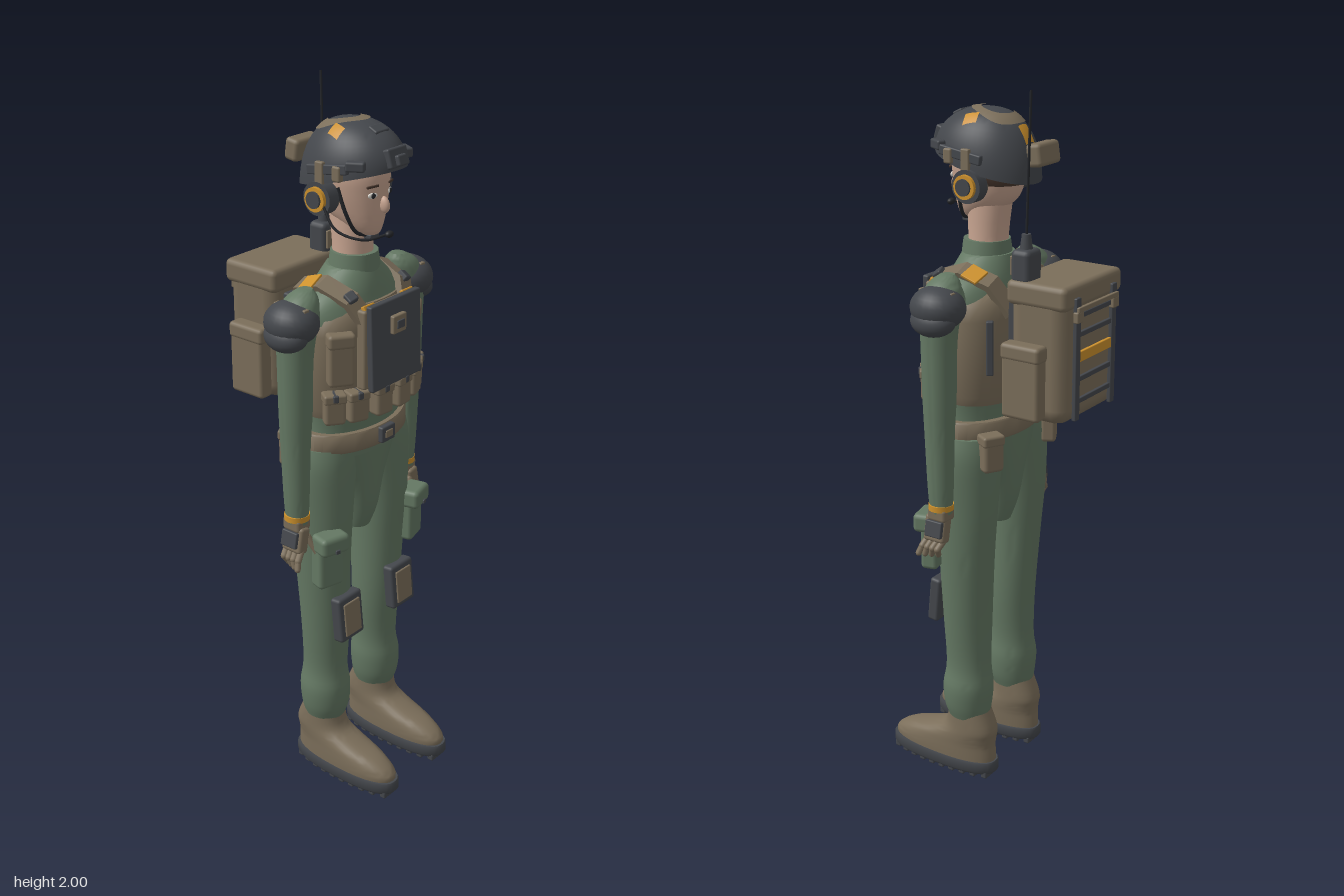
import * as THREE from 'three';
import { toCreasedNormals } from 'three/addons/utils/BufferGeometryUtils.js';
import { RoundedBoxGeometry } from 'three/addons/geometries/RoundedBoxGeometry.js';

const V = (x, y, z) => new THREE.Vector3(x, y, z);
const mat = (name, color) => Object.assign(new THREE.MeshStandardMaterial({ color }), { name });

// Solid through elliptical rings [y, cx, cz, rx, rz]; pw < 1 squares the section, steps smooths between rings
function loft(rings, { pw = 1, steps = 1, seg = 32, mx = 1 } = {}) {
  const rows = [];
  const mix = (a, b, c, d, t) => 0.5 * (2 * b + (c - a) * t + (2 * a - 5 * b + 4 * c - d) * t * t + (3 * b - a - 3 * c + d) * t ** 3);
  const at = (i) => rings[Math.max(0, Math.min(rings.length - 1, i))];
  for (let i = 0; i < rings.length - 1; i++)
    for (let k = 0; k < steps; k++) rows.push(at(i).map((v, n) => mix(at(i - 1)[n], v, at(i + 1)[n], at(i + 2)[n], k / steps)));
  rows.push(at(rings.length - 1));
  const pos = [], idx = [], sp = (v) => Math.sign(v) * Math.abs(v) ** pw;
  for (const [y, cx, cz, rx, rz] of rows)
    for (let j = 0; j < seg; j++) {
      const a = (j / seg) * Math.PI * 2;
      pos.push(cx * mx + rx * sp(Math.cos(a)), y, cz + rz * sp(Math.sin(a)));
    }
  const n = rows.length, top = rows[n - 1];
  pos.push(rows[0][1] * mx, rows[0][0], rows[0][2], top[1] * mx, top[0], top[2]);
  for (let j = 0; j < seg; j++) {
    const k = (j + 1) % seg;
    for (let i = 0; i < n - 1; i++) {
      const p = i * seg + j, q = i * seg + k;
      idx.push(p, p + seg, q, q, p + seg, q + seg);
    }
    idx.push(n * seg, j, k, n * seg + 1, (n - 1) * seg + k, (n - 1) * seg + j);
  }
  const g = new THREE.BufferGeometry();
  g.setAttribute('position', new THREE.Float32BufferAttribute(pos, 3));
  g.setIndex(idx);
  return toCreasedNormals(g, 0.75);
}

// Helmet surface height, used by the shell and by everything draped on it
function helmetY(x, z) {
  const r = Math.min(1, Math.hypot(x / 0.118, (z - 0.04) / 0.15));
  const s = Math.sqrt(1 - r ** 2.4);
  return 1.785 + 0.145 * s + (1 - s) * (z - 0.05) * 0.25;
}
function drape(g, lift) {
  const p = g.attributes.position;
  for (let i = 0; i < p.count; i++) p.setY(i, helmetY(p.getX(i), p.getZ(i)) + lift);
  g.computeVertexNormals();
  return g;
}

export function createModel() {
  const root = new THREE.Group();
  root.name = 'radioOperator';
  const green = mat('fieldGreen', 0x647863), tan = mat('webbingTan', 0x7b6e5a), dark = mat('gunmetal', 0x44474c);
  const skin = mat('skin', 0xc7a490), orange = mat('signalOrange', 0xcd912d), hair = mat('hairBrown', 0x45352c);
  const white = mat('eyeWhite', 0xdedad2), black = mat('nearBlack', 0x24262a), lip = mat('lip', 0xa0705f);

  const add = (name, m, g, x = 0, y = 0, z = 0, rx = 0, ry = 0, rz = 0) => {
    const o = new THREE.Mesh(g, m);
    o.name = name;
    o.position.set(x, y, z);
    o.rotation.set(rx, ry, rz);
    root.add(o);
    return o;
  };
  const box = (name, m, w, h, d, x, y, z, rx, ry, rz) =>
    add(name, m, new RoundedBoxGeometry(w, h, d, 2, Math.min(w, h, d) * 0.25), x, y, z, rx, ry, rz);
  const ball = (name, m, a, b, c, x, y, z, rx, ry, rz) =>
    add(name, m, new THREE.SphereGeometry(1, 24, 16).scale(a, b, c), x, y, z, rx, ry, rz);
  const tube = (name, m, r, ...pts) => add(name, m, new THREE.TubeGeometry(new THREE.CatmullRomCurve3(pts), 24, r, 8));
  const disc = (name, m, r, h, x, y, z) => add(name, m, new THREE.CylinderGeometry(r, r, h, 24), x, y, z, 0, 0, Math.PI / 2);
  const limb = (name, m, x, y, z, x2, y2, z2, r) => {
    const a = V(x, y, z), d = V(x2, y2, z2).sub(a);
    const o = add(name, m, new THREE.CapsuleGeometry(r, d.length(), 4, 10));
    o.position.copy(a).addScaledVector(d, 0.5);
    o.quaternion.setFromUnitVectors(V(0, 1, 0), d.normalize());
  };

  // Torso, pelvis, collar and belt
  add('shirt', green, loft([[1.04, 0, 0.04, 0.17, 0.1], [1.13, 0, 0.04, 0.165, 0.1], [1.25, 0, 0.04, 0.178, 0.11],
    [1.4, 0, 0.04, 0.19, 0.115], [1.47, 0, 0.04, 0.175, 0.095], [1.52, 0, 0.04, 0.11, 0.08], [1.55, 0, 0.04, 0.075, 0.068]], { steps: 4 }));
  add('collar', green, loft([[1.52, 0, 0.045, 0.075, 0.07], [1.55, 0, 0.045, 0.07, 0.067], [1.585, 0, 0.045, 0.064, 0.063]], { steps: 2 }));
  add('pelvis', green, loft([[0.78, 0, 0.035, 0.04, 0.06], [0.85, 0, 0.035, 0.055, 0.085], [0.95, 0, 0.033, 0.09, 0.095], [1.07, 0, 0.033, 0.175, 0.1]], { steps: 3, pw: 0.85 }));
  add('belt', tan, loft([[1.06, 0, 0.038, 0.186, 0.115], [1.065, 0, 0.038, 0.19, 0.119], [1.11, 0, 0.038, 0.186, 0.119], [1.115, 0, 0.038, 0.182, 0.115]]));
  box('buckle', dark, 0.056, 0.046, 0.02, 0, 1.09, 0.16);
  box('buckleCenter', tan, 0.03, 0.022, 0.012, 0, 1.09, 0.167);

  // Vest with front plate and ring of pouches
  add('vest', tan, loft([[1.165, 0, 0.035, 0.178, 0.115], [1.19, 0, 0.035, 0.186, 0.122], [1.4, 0, 0.035, 0.194, 0.125],
    [1.44, 0, 0.035, 0.18, 0.118], [1.47, 0, 0.035, 0.13, 0.108]], { pw: 0.85 }));
  box('frontPlate', dark, 0.205, 0.235, 0.02, 0, 1.365, 0.182, -0.04);
  box('plateBacking', tan, 0.22, 0.22, 0.03, 0, 1.36, 0.158);
  box('platePatch', tan, 0.054, 0.05, 0.016, 0, 1.415, 0.194);
  box('patchButton', dark, 0.028, 0.022, 0.006, 0, 1.415, 0.203);
  for (const x of [-0.172, -0.118, -0.04, 0.04, 0.118, 0.172]) {
    const z = 0.04 + 0.135 * Math.sqrt(1 - (x / 0.215) ** 2), ry = Math.atan2(x / 0.046, (z - 0.04) / 0.018) * 0.9;
    box('pouch', tan, 0.058, 0.078, 0.04, x, 1.205, z, 0, ry);
    box('pouchFlap', tan, 0.062, 0.026, 0.046, x, 1.24, z, 0, ry);
    box('pouchClip', dark, 0.016, 0.02, 0.052, x, 1.243, z, 0, ry);
  }

  // Helmet shell and fittings
  const shell = [];
  for (let i = 0; i <= 14; i++) {
    const a = (i / 14) * Math.PI * 0.495, r = Math.cos(a) ** (2 / 2.4);
    shell.push([Math.sin(a), 0, 0.04, 0.118 * r, 0.15 * r]);
  }
  const shellGeo = loft(shell, { seg: 48 }), sp = shellGeo.attributes.position;
  for (let i = 0; i < sp.count; i++) sp.setY(i, 1.785 + 0.145 * sp.getY(i) + (1 - sp.getY(i)) * (sp.getZ(i) - 0.05) * 0.25);
  shellGeo.computeVertexNormals();
  add('helmet', dark, toCreasedNormals(shellGeo, 0.7));
  const egg = new THREE.RingGeometry(0.6, 1, 40, 3).rotateX(-Math.PI / 2), ep = egg.attributes.position;
  for (let i = 0; i < ep.count; i++) {
    const x = ep.getX(i), z = ep.getZ(i);
    ep.setXYZ(i, x * 0.062 * (1 - 0.22 * z), 0, 0.012 + z * 0.073);
  }
  add('helmetTopBand', tan, drape(egg, 0.004));
  for (const [x, z, ry] of [[0, -0.078, 0], [0.072, 0.045, 1.8], [-0.072, 0.045, -1.8]])
    add('helmetTab', orange, drape(new THREE.PlaneGeometry(0.038, 0.026, 6, 6).rotateX(-Math.PI / 2).rotateY(ry).translate(x, 0, z), 0.005));
  box('helmetTopBox', dark, 0.052, 0.018, 0.03, 0, 1.908, 0.12, 0.45);
  box('helmetRearBox', tan, 0.1, 0.06, 0.045, 0, 1.825, -0.13, 0.15);
  box('helmetMount', dark, 0.075, 0.05, 0.022, 0, 1.85, 0.178, -0.3);
  box('helmetMountLatch', dark, 0.035, 0.028, 0.02, 0, 1.845, 0.192, -0.3);

  // Head, face and hair
  add('neck', skin, loft([[1.53, 0, 0.04, 0.056, 0.056], [1.6, 0, 0.04, 0.053, 0.055], [1.7, 0, 0.035, 0.055, 0.065]], { steps: 3 }));
  add('head', skin, loft([[1.635, 0, 0.095, 0.012, 0.015], [1.642, 0, 0.088, 0.03, 0.035], [1.665, 0, 0.065, 0.05, 0.066], [1.7, 0, 0.045, 0.067, 0.092],
    [1.75, 0, 0.038, 0.08, 0.103], [1.8, 0, 0.037, 0.084, 0.106], [1.86, 0, 0.037, 0.07, 0.09]], { steps: 4 }));
  add('hair', hair, loft([[1.74, 0, -0.005, 0.078, 0.068], [1.76, 0, 0.008, 0.088, 0.08], [1.82, 0, 0.015, 0.09, 0.085]], { steps: 2 }));
  ball('nose', skin, 0.011, 0.022, 0.016, 0, 1.722, 0.143, -0.25);
  ball('mouth', lip, 0.019, 0.005, 0.006, 0, 1.685, 0.127);
  box('chinCup', dark, 0.036, 0.014, 0.03, 0, 1.632, 0.1);
  tube('micBoom', black, 0.0035, V(-0.13, 1.73, 0.05), V(-0.128, 1.675, 0.09), V(-0.09, 1.652, 0.15), V(-0.035, 1.66, 0.182));
  ball('microphone', black, 0.013, 0.009, 0.01, -0.03, 1.66, 0.184);

  // Everything that repeats on both sides
  for (const s of [1, -1]) {
    ball('eyeWhite', white, 0.014, 0.0075, 0.004, s * 0.034, 1.75, 0.132, 0, s * 0.35);
    ball('iris', black, 0.0068, 0.0072, 0.004, s * 0.034, 1.75, 0.1345, 0, s * 0.35);
    box('brow', hair, 0.034, 0.006, 0.006, s * 0.036, 1.774, 0.134, 0, s * 0.4, -s * 0.1);

    // Headset and helmet rails
    disc('earCup', dark, 0.044, 0.036, s * 0.108, 1.742, 0.025);
    disc('earCupRing', orange, 0.032, 0.012, s * 0.13, 1.742, 0.025);
    disc('earCupCap', dark, 0.022, 0.012, s * 0.136, 1.742, 0.025);
    disc('earCushion', tan, 0.038, 0.02, s * 0.088, 1.742, 0.025);
    box('headsetArm', tan, 0.014, 0.07, 0.026, s * 0.118, 1.803, 0.03);
    box('helmetRail', dark, 0.016, 0.026, 0.13, s * 0.112, 1.82, 0.05, -0.15);
    box('railClip', tan, 0.022, 0.04, 0.026, s * 0.114, 1.815, 0.085);
    box('helmetLamp', dark, 0.024, 0.026, 0.05, s * 0.1, 1.838, 0.13, 0, -s * 0.5);
    tube('chinStrap', black, 0.005, V(s * 0.086, 1.77, 0.06), V(s * 0.075, 1.7, 0.08), V(s * 0.045, 1.648, 0.09), V(0, 1.634, 0.1));

    // Shoulder straps as an arched band
    const arch = new THREE.Shape(), pts = [[0.165, 1.43], [0.13, 1.5], [0.04, 1.535], [-0.05, 1.505], [-0.095, 1.42]];
    pts.forEach(([z, y], i) => (i ? arch.lineTo(z, y) : arch.moveTo(z, y)));
    [...pts].reverse().forEach(([z, y]) => arch.lineTo(0.04 + (z - 0.04) * 0.86, y - 0.016));
    const band = new THREE.ExtrudeGeometry(arch, { depth: 0.05, bevelEnabled: false }).translate(0, -1.48, -0.025).rotateY(-Math.PI / 2);
    add('shoulderStrap', tan, band, s * 0.102, 1.478, 0, 0, 0, -s * 0.4);
    box('strapTab', orange, 0.054, 0.008, 0.05, s * 0.125, 1.516, 0.0, -0.32, 0, -s * 0.4);
    box('strapFrontTab', orange, 0.045, 0.03, 0.012, s * 0.08, 1.465, 0.162, -0.5);
    box('strapBuckle', dark, 0.03, 0.02, 0.03, s * 0.11, 1.498, 0.125, 0.6, 0, -s * 0.4);
    box('chestPouch', tan, 0.07, 0.14, 0.04, s * 0.152, 1.34, 0.125, 0, s * 0.6);
    box('chestPouchFlap', tan, 0.074, 0.04, 0.046, s * 0.152, 1.395, 0.126, 0, s * 0.6);
    box('vestSideStrap', dark, 0.018, 0.15, 0.02, s * 0.145, 1.33, -0.062, 0, s * 0.6);
    box('hipPouch', tan, 0.06, 0.1, 0.045, s * 0.145, 1.035, -0.065, 0, -s * 0.5);
    box('hipPouchFlap', tan, 0.064, 0.03, 0.05, s * 0.145, 1.075, -0.065, 0, -s * 0.5);

    // Arm, shoulder guard, wrist band and glove
    add('arm', green, loft([[0.87, 0.232, 0.04, 0.028, 0.032], [0.95, 0.233, 0.04, 0.033, 0.037], [1.1, 0.234, 0.04, 0.038, 0.042], [1.2, 0.232, 0.04, 0.044, 0.046],
      [1.35, 0.231, 0.04, 0.047, 0.049], [1.45, 0.222, 0.04, 0.055, 0.056], [1.5, 0.205, 0.04, 0.045, 0.045], [1.525, 0.19, 0.04, 0.02, 0.02]], { steps: 4, mx: s }));
    ball('shoulder', green, 0.062, 0.075, 0.052, s * 0.212, 1.445, 0.035, 0, 0, s * 0.3);
    ball('shoulderGuard', dark, 0.067, 0.058, 0.077, s * 0.238, 1.447, 0.036);
    ball('shoulderGuardLower', dark, 0.048, 0.04, 0.066, s * 0.26, 1.418, 0.036, 0, 0, -s * 0.5);
    for (const z of [-0.01, 0.085]) box('guardRivet', tan, 0.018, 0.01, 0.012, s * 0.24, 1.488, z);
    add('wristBand', orange, new THREE.CylinderGeometry(0.035, 0.035, 0.016, 24), s * 0.232, 0.888, 0.04);
    box('gloveCuff', tan, 0.052, 0.04, 0.06, s * 0.234, 0.868, 0.04);
    box('palm', tan, 0.036, 0.075, 0.068, s * 0.244, 0.825, 0.045, 0, 0, s * 0.2);
    box('knucklePlate', dark, 0.014, 0.046, 0.054, s * 0.264, 0.83, 0.042, 0, 0, s * 0.2);
    for (let i = 0; i < 4; i++) {
      const z = 0.02 + i * 0.017;
      limb('finger', tan, s * 0.252, 0.795, z, s * 0.272, 0.775, z + 0.006, 0.0095);
      limb('fingertip', tan, s * 0.272, 0.775, z + 0.006, s * (0.26 + i * 0.007), 0.755, z + 0.012, 0.0085);
    }
    limb('thumb', tan, s * 0.225, 0.83, 0.07, s * 0.212, 0.785, 0.095, 0.0105);

    // Leg with cargo pocket and knee pad
    add('leg', green, loft([[0.19, 0.115, 0.035, 0.056, 0.062], [0.23, 0.115, 0.038, 0.067, 0.071], [0.29, 0.115, 0.037, 0.071, 0.074], [0.36, 0.113, 0.036, 0.062, 0.066],
      [0.5, 0.113, 0.038, 0.07, 0.07], [0.7, 0.12, 0.035, 0.075, 0.08], [0.85, 0.122, 0.033, 0.08, 0.091], [1.0, 0.115, 0.031, 0.093, 0.094], [1.07, 0.105, 0.03, 0.09, 0.09]], { steps: 4, mx: s }));
    box('thighPocket', green, 0.08, 0.15, 0.05, s * 0.183, 0.75, 0.105, 0, s * 0.25);
    box('thighPocketFlap', green, 0.09, 0.055, 0.066, s * 0.184, 0.812, 0.118, 0, s * 0.25);
    box('pocketButton', dark, 0.014, 0.012, 0.008, s * 0.192, 0.797, 0.151, 0, s * 0.25);
    box('kneePad', dark, 0.098, 0.135, 0.036, s * 0.117, 0.55, 0.122, -0.1);
    box('kneePadCenter', tan, 0.066, 0.1, 0.012, s * 0.117, 0.55, 0.139, -0.1);

    // Boot, sole and tread
    add('boot', tan, loft([[0.04, 0.115, 0.12, 0.058, 0.172], [0.07, 0.115, 0.12, 0.059, 0.172], [0.1, 0.115, 0.098, 0.058, 0.148], [0.125, 0.115, 0.058, 0.057, 0.11],
      [0.155, 0.115, 0.028, 0.056, 0.08], [0.22, 0.115, 0.034, 0.053, 0.058]], { steps: 4, pw: 0.85, mx: s }));
    add('sole', dark, loft([[0.014, 0.115, 0.122, 0.057, 0.176], [0.022, 0.115, 0.122, 0.062, 0.182], [0.046, 0.115, 0.122, 0.062, 0.182], [0.052, 0.115, 0.122, 0.06, 0.179]], { pw: 0.8, mx: s }));
    for (let i = 0; i < 10; i++) {
      const z = -0.035 + i * 0.035;
      box('treadLug', dark, 0.108 * Math.sqrt(1 - ((z - 0.122) / 0.2) ** 2), 0.022, 0.02, s * 0.115, 0.011, z);
    }

    // Backpack sides
    box('packSidePocket', tan, 0.045, 0.2, 0.115, s * 0.164, 1.265, -0.18);
    box('packSideFlap', tan, 0.05, 0.045, 0.12, s * 0.164, 1.345, -0.18);
    box('packStrap', dark, 0.022, 0.33, 0.012, s * 0.09, 1.325, -0.294);
    box('packStrapClip', tan, 0.03, 0.03, 0.016, s * 0.09, 1.44, -0.298);
  }

  // Backpack body and rear webbing
  box('pack', tan, 0.28, 0.36, 0.175, 0, 1.325, -0.2);
  box('packLid', tan, 0.288, 0.065, 0.183, 0, 1.49, -0.2);
  box('packFrame', dark, 0.21, 0.25, 0.022, 0, 1.33, -0.103);
  for (const y of [1.21, 1.27, 1.39, 1.44]) box('packWebbing', dark, 0.2, 0.014, 0.01, 0, y, -0.292);
  box('packSignalBand', orange, 0.2, 0.028, 0.01, 0, 1.33, -0.293);
  box('packHandle', tan, 0.2, 0.014, 0.01, 0, 1.46, -0.302);

  // Radio and whip antenna
  box('radio', dark, 0.068, 0.09, 0.058, 0.1, 1.555, -0.145);
  box('radioFace', tan, 0.05, 0.05, 0.008, 0.1, 1.555, -0.114);
  add('antennaBase', dark, new THREE.CylinderGeometry(0.012, 0.018, 0.045, 16), 0.1, 1.615, -0.145);
  tube('antenna', black, 0.0035, V(0.1, 1.62, -0.145), V(0.106, 1.8, -0.154), V(0.112, 2, -0.164));
  return root;
}
